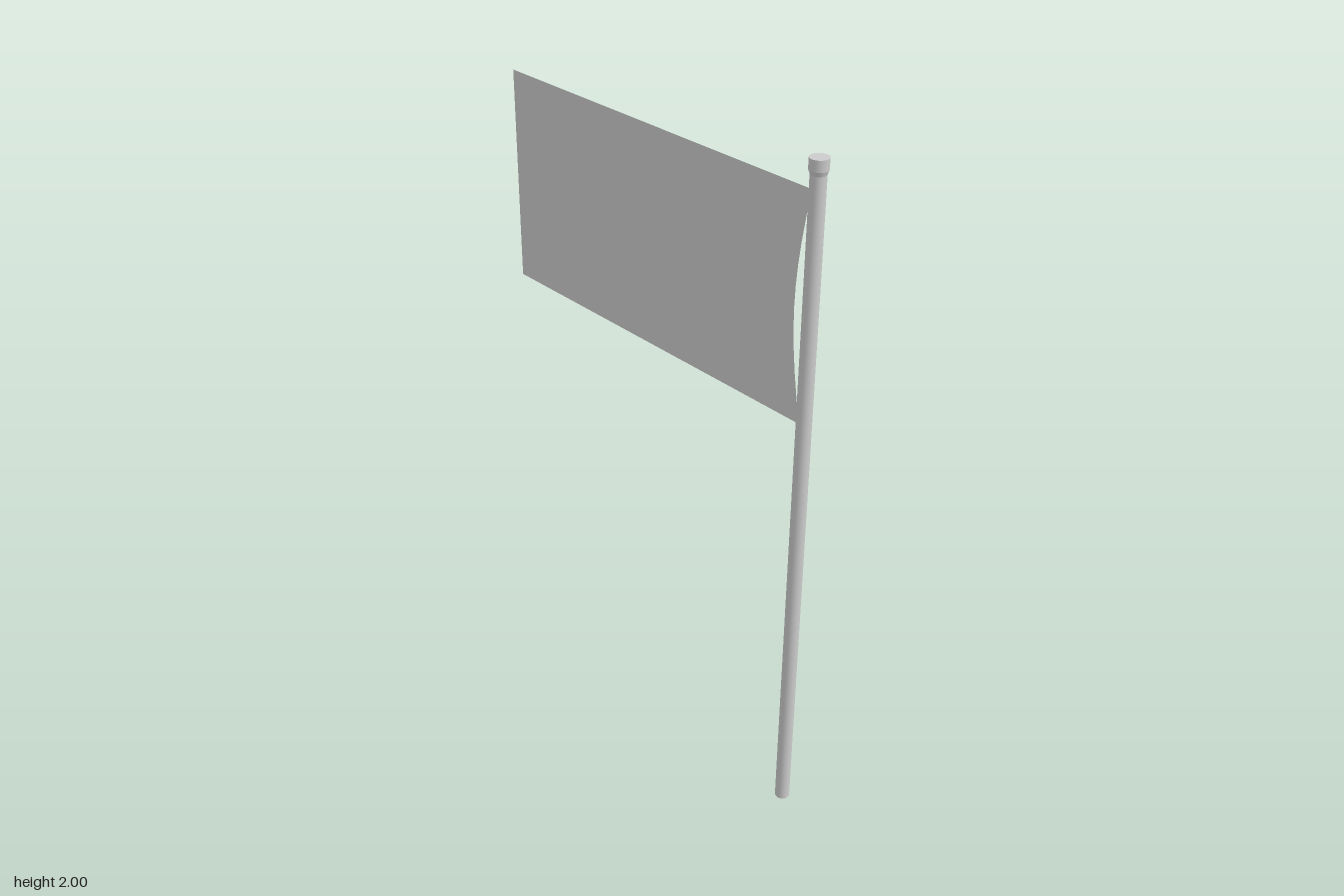
import * as THREE from 'three';

const POLE_Z = 0.588;

export function createModel() {
  const group = new THREE.Group();
  const grey = new THREE.MeshStandardMaterial({ color: 0xcccccc });
  const cloth = new THREE.MeshStandardMaterial({ color: 0xcccccc, side: THREE.DoubleSide });

  // Upright pole
  const pole = new THREE.Mesh(new THREE.CylinderGeometry(0.021, 0.021, 1.98, 24), grey);
  pole.name = 'pole';
  pole.position.set(0, 0.99, POLE_Z);
  group.add(pole);

  // Collar cap: short taper, then a straight band
  const cap = new THREE.Group();
  cap.name = 'poleCap';
  cap.position.z = POLE_Z;
  const taper = new THREE.Mesh(new THREE.CylinderGeometry(0.025, 0.021, 0.012, 24, 1, true), grey);
  taper.name = 'capTaper';
  taper.position.y = 1.964;
  const band = new THREE.Mesh(new THREE.CylinderGeometry(0.0255, 0.025, 0.03, 24), grey);
  band.name = 'capBand';
  band.position.y = 1.985;
  cap.add(taper, band);
  group.add(cap);

  // Flat flag, its hoist edge bowed away from the pole between the two corners
  const top = 1.915, bottom = 1.275, mid = (top + bottom) / 2;
  const shape = new THREE.Shape();
  shape.moveTo(-0.57, bottom);
  shape.lineTo(0.613, bottom);
  shape.lineTo(0.613, top);
  shape.lineTo(-0.57, top);
  shape.bezierCurveTo(-0.52, mid + 0.06, -0.52, mid - 0.06, -0.57, bottom);
  const flag = new THREE.Mesh(new THREE.ShapeGeometry(shape, 10), cloth);
  flag.name = 'flag';
  flag.rotation.y = Math.PI / 2;
  group.add(flag);

  return group;
}
